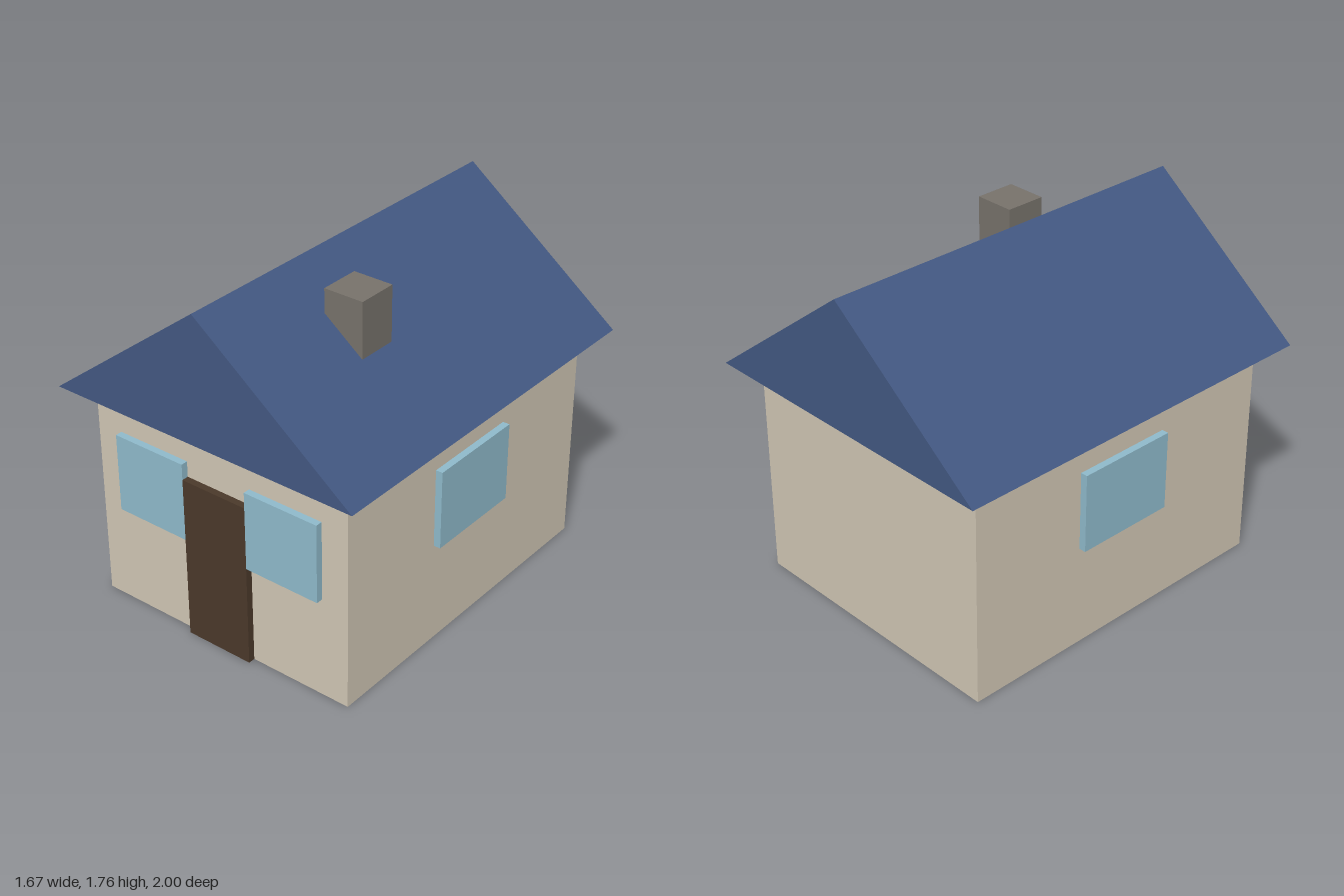
import * as THREE from 'three';

export function createModel() {
  const house = new THREE.Group();
  house.name = 'house';

  const material = (color, side = THREE.FrontSide) =>
    new THREE.MeshStandardMaterial({ color, side, flatShading: true });
  const wallMat = material(0xd0c6b4);
  const roofMat = material(0x435882, THREE.DoubleSide);
  const glassMat = material(0x8fbacb);
  const doorMat = material(0x4b392a);
  const chimneyMat = material(0x77726b);

  // Box given by its size and the centre of its underside
  function box(name, mat, [w, h, d], [x, y, z]) {
    const mesh = new THREE.Mesh(new THREE.BoxGeometry(w, h, d), mat);
    mesh.name = name;
    mesh.position.set(x, y + h / 2, z);
    house.add(mesh);
  }

  const eaveY = 1.12, ridgeY = 1.76, eaveX = 0.835, gableZ = 1;
  const wallX = 0.72, wallZ = 0.88, proud = 0.035;

  box('walls', wallMat, [wallX * 2, eaveY, wallZ * 2], [0, 0, 0]);
  box('door', doorMat, [0.36, 0.84, proud], [0, 0, wallZ + proud / 2]);

  // Front and side windows, mirrored
  for (const [side, s] of [['left', 1], ['right', -1]]) {
    box(`${side}FrontWindow`, glassMat, [0.4, 0.4, proud], [s * 0.38, 0.52, wallZ + proud / 2]);
    box(`${side}SideWindow`, glassMat, [proud, 0.4, 0.52], [s * (wallX + proud / 2), 0.52, 0]);
  }

  // Roof shell: two slopes and two gables, open underneath
  const roofGeo = new THREE.BufferGeometry();
  const corners = [];
  for (const z of [gableZ, -gableZ]) {
    corners.push(-eaveX, eaveY, z, eaveX, eaveY, z, 0, ridgeY, z);
  }
  roofGeo.setAttribute('position', new THREE.Float32BufferAttribute(corners, 3));
  roofGeo.setIndex([
    0, 1, 2, 4, 3, 5, // gables
    1, 4, 5, 1, 5, 2, // left slope
    3, 0, 2, 3, 2, 5, // right slope
  ]);
  const roofFlat = roofGeo.toNonIndexed();
  roofFlat.computeVertexNormals();
  const roof = new THREE.Mesh(roofFlat, roofMat);
  roof.name = 'roof';
  house.add(roof);

  // Chimney rising through the left slope
  box('chimney', chimneyMat, [0.206, 0.4, 0.206], [0.322, 1.31, 0.305]);

  return house;
}
